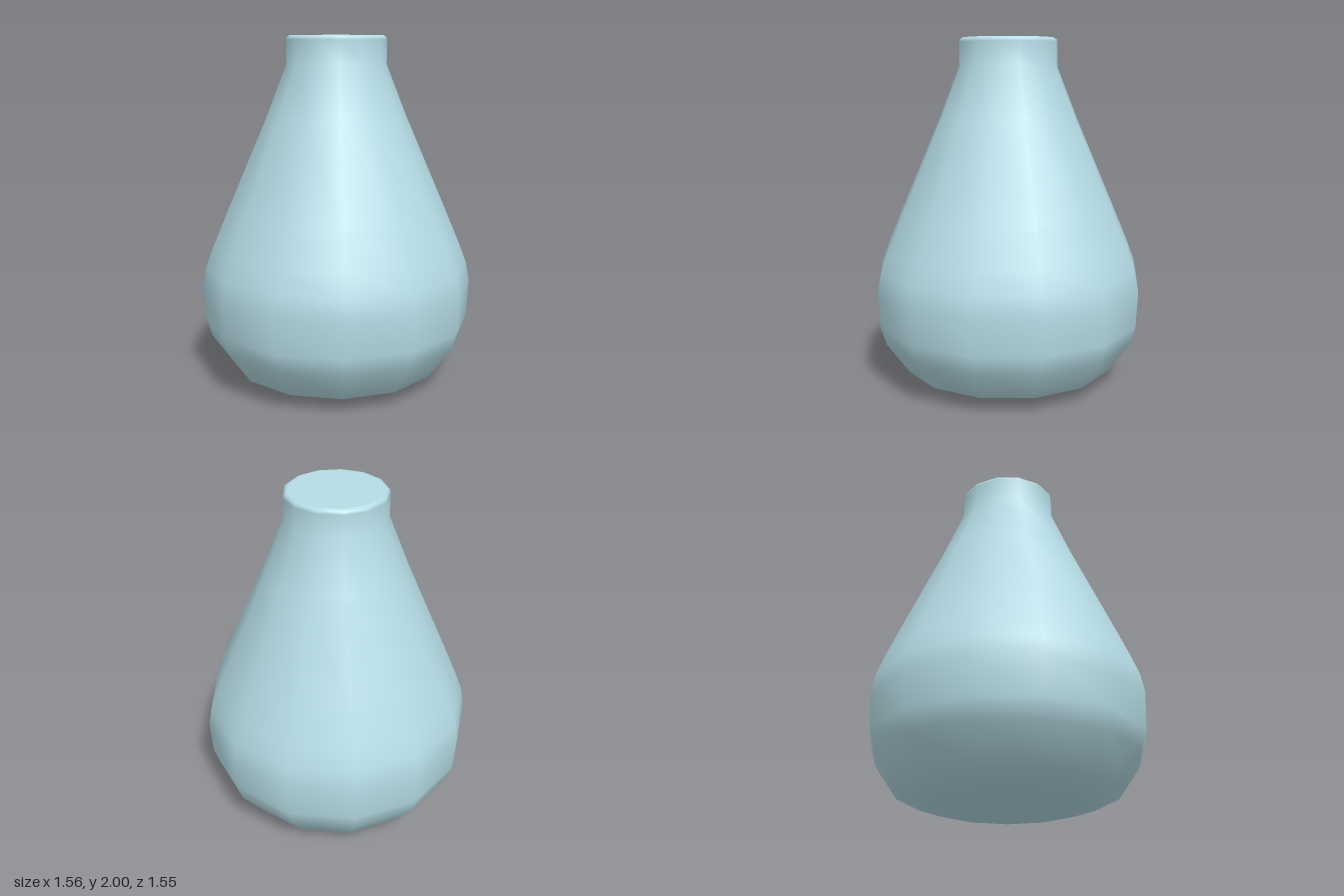
import * as THREE from 'three';

export function createModel() {
  const group = new THREE.Group();
  group.name = 'flask';

  // Profile from the base centre up to the top centre: [radius, height]
  const profile = [
    [0, 0], [0.31, 0.005], [0.455, 0.033], [0.617, 0.088], [0.745, 0.27],
    [0.777, 0.375], [0.787, 0.58], [0.766, 0.69], [0.72, 0.81], [0.635, 1.01],
    [0.4, 1.55], [0.285, 1.84], [0.285, 1.975], [0.28, 1.99], [0.266, 2],
    [0.255, 2], [0, 2],
  ].map(([r, y]) => new THREE.Vector2(r, y));

  // Thirteen-sided body, one corner pointing to the back
  const geometry = new THREE.LatheGeometry(profile, 13, Math.PI);
  geometry.translate(0, 0, 0.01);
  const material = new THREE.MeshStandardMaterial({ color: 0xb5dce5 });
  const body = new THREE.Mesh(geometry, material);
  body.name = 'flaskBody';
  group.add(body);

  return group;
}
